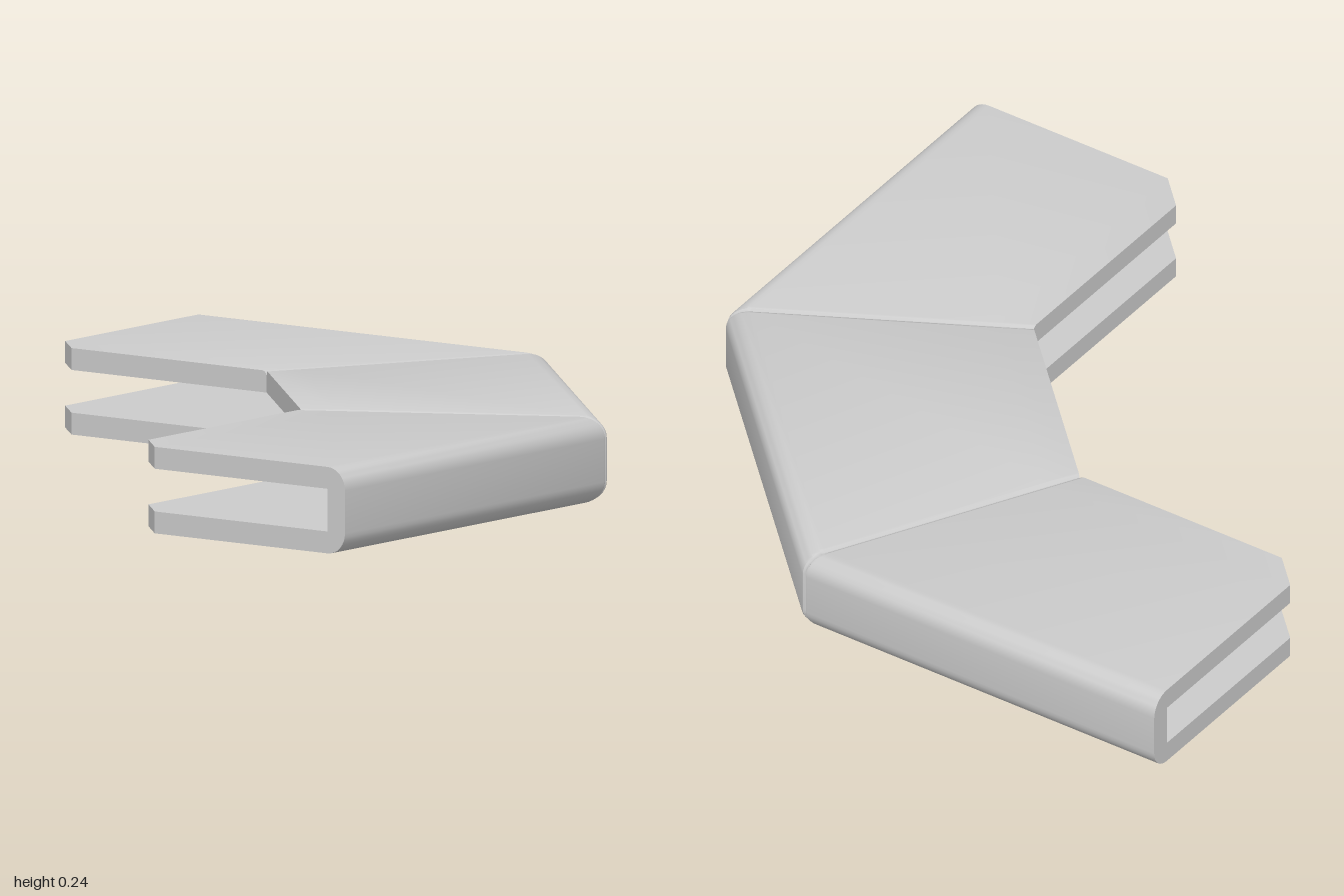
import * as THREE from 'three';
import { toCreasedNormals } from 'three/addons/utils/BufferGeometryUtils.js';

const H = 0.237, W = 0.74, WALL = 0.06; // channel height, width, wall thickness
const ROUND = 0.06, CUT = 0.09, LIP = 0.014; // outer edge radius, end corner cut, seam rounding

// U-shaped cross-section as two matched lines [distance from open edge, y];
// inset shrinks the outer skin for the rounded seams
function channel(inset) {
  const top = H - inset, r = ROUND - inset;
  const outer = [[0, top], [CUT, top]], inner = [[0, H - WALL], [CUT, H - WALL]];
  for (const lower of [false, true]) {
    for (let k = 0; k <= 8; k++) {
      const a = (lower ? 0 : Math.PI / 2) - (k / 8) * Math.PI / 2;
      outer.push([W - ROUND + r * Math.cos(a), (lower ? ROUND : H - ROUND) + r * Math.sin(a)]);
      inner.push([W - WALL, lower ? WALL : H - WALL]);
    }
  }
  outer.push([CUT, inset], [0, inset]);
  inner.push([CUT, WALL], [0, WALL]);
  return { outer, inner };
}

// One straight section between two end lines, each running from the open edge to the outer edge
function section(start, end, seamStart, seamEnd) {
  const axis = end[0].clone().sub(start[0]).normalize();

  function ring(line, sign, along, inset, cut) {
    const place = ([d, y]) => {
      const p = line[0].clone().lerp(line[1], d / W);
      p.addScaledVector(axis, sign * (along + (cut ? Math.max(0, CUT - d) : 0)));
      return new THREE.Vector3(p.x, y, p.y);
    };
    const c = channel(inset);
    return { outer: c.outer.map(place), inner: c.inner.map(place) };
  }
  function endRings(line, sign, seam) {
    if (!seam) return [ring(line, sign, 0, 0, true)];
    return [0, 1, 2, 3].map((k) => {
      const a = (k / 3) * Math.PI / 2;
      return ring(line, sign, LIP * (1 - Math.cos(a)) + 0.001, LIP * (1 - Math.sin(a)), false);
    });
  }
  const rings = [...endRings(start, 1, seamStart), ...endRings(end, -1, seamEnd).reverse()];

  const positions = [];
  const tri = (a, b, c) => {
    const area = b.clone().sub(a).cross(c.clone().sub(a)).length();
    if (area > 1e-9) for (const p of [a, b, c]) positions.push(p.x, p.y, p.z);
  };
  const quad = (a, b, c, d) => { tri(a, b, c); tri(a, c, d); };

  // walls along the section
  const loops = rings.map((r) => [...r.outer, ...r.inner.slice().reverse()]);
  for (let s = 0; s < loops.length - 1; s++) {
    const p = loops[s], q = loops[s + 1];
    for (let i = 0; i < p.length; i++) {
      const j = (i + 1) % p.length;
      quad(p[i], q[i], q[j], p[j]);
    }
  }
  // end faces
  const a = rings[0], b = rings[rings.length - 1];
  for (let i = 0; i < a.outer.length - 1; i++) {
    quad(a.outer[i], a.outer[i + 1], a.inner[i + 1], a.inner[i]);
    quad(b.inner[i], b.inner[i + 1], b.outer[i + 1], b.outer[i]);
  }
  const geometry = new THREE.BufferGeometry();
  geometry.setAttribute('position', new THREE.Float32BufferAttribute(positions, 3));
  return toCreasedNormals(geometry, 0.6);
}

export function createModel() {
  const group = new THREE.Group();
  group.name = 'cornerChannel';
  const material = new THREE.MeshStandardMaterial({ color: 0xcccccc });
  const line = (x0, z0, x1, z1) => [new THREE.Vector2(x0, z0), new THREE.Vector2(x1, z1)];

  // end and mitre lines, in plan: open edge point, outer edge point
  const lines = [
    line(-0.995, -0.262, -0.995, -1),
    line(-0.24, -0.262, 0.162, -1),
    line(0.252, 0.23, 0.99, -0.172),
    line(0.252, 1, 0.99, 1),
  ];
  ['backArm', 'diagonalSection', 'sideArm'].forEach((name, i) => {
    const mesh = new THREE.Mesh(section(lines[i], lines[i + 1], i > 0, i < 2), material);
    mesh.name = name;
    group.add(mesh);
  });
  return group;
}
